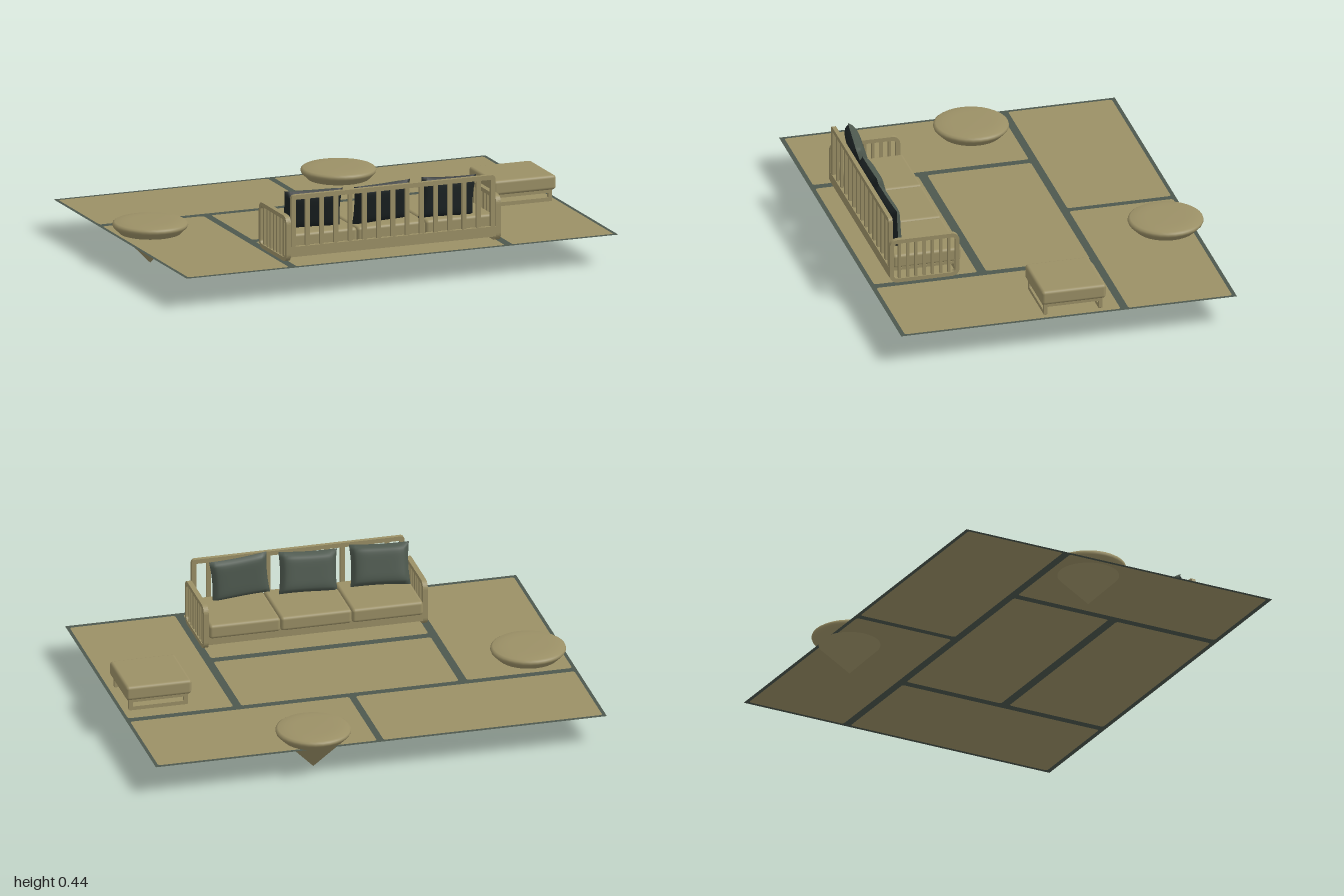
import * as THREE from 'three';
import { RoundedBoxGeometry } from 'three/addons/geometries/RoundedBoxGeometry.js';

const olive = new THREE.MeshStandardMaterial({ name: 'olive', color: 0x9b9066, side: THREE.DoubleSide });
const slate = new THREE.MeshStandardMaterial({ name: 'slate', color: 0x4d584e, side: THREE.DoubleSide });
const darkSlate = new THREE.MeshStandardMaterial({ name: 'dark slate', color: 0x1c2324, side: THREE.DoubleSide });

function add(parent, name, geometry, material, x = 0, y = 0, z = 0) {
  const mesh = new THREE.Mesh(geometry, material);
  mesh.name = name;
  mesh.position.set(x, y, z);
  parent.add(mesh);
  return mesh;
}

// Box given by its limits
function box(parent, name, [x0, x1], [y0, y1], [z0, z1], radius = 0) {
  const s = [x1 - x0, y1 - y0, z1 - z0];
  const geo = radius ? new RoundedBoxGeometry(...s, 4, radius) : new THREE.BoxGeometry(...s);
  return add(parent, name, geo, olive, (x0 + x1) / 2, (y0 + y1) / 2, (z0 + z1) / 2);
}

// Rounded rectangle outline, as a Shape or a hole Path
function roundRect(Type, x0, y0, x1, y1, r) {
  const p = new Type();
  p.absarc(x1 - r, y0 + r, r, -Math.PI / 2, 0);
  p.absarc(x1 - r, y1 - r, r, 0, Math.PI / 2);
  p.absarc(x0 + r, y1 - r, r, Math.PI / 2, Math.PI);
  p.absarc(x0 + r, y0 + r, r, Math.PI, Math.PI * 1.5);
  p.closePath();
  return p;
}

// Upright open frame, centred on its depth
function frameGeometry(x0, y0, x1, y1, bar, r, depth) {
  const shape = roundRect(THREE.Shape, x0, y0, x1, y1, r);
  shape.holes.push(roundRect(THREE.Path, x0 + bar, y0 + bar, x1 - bar, y1 - bar, Math.max(r - bar, 0.003)));
  return new THREE.ExtrudeGeometry(shape, { depth, bevelEnabled: false, curveSegments: 4 })
    .translate(0, 0, -depth / 2);
}

// Flat rug of six panels set in a slate border
function makeRug() {
  const rug = new THREE.Group();
  rug.name = 'rug';
  const border = roundRect(THREE.Shape, -1, -0.727, 1, 0.762, 0.002);
  const panels = [
    [-0.985, -0.71, -0.015, -0.25], [0.015, -0.71, 0.985, -0.25],
    [-0.985, -0.215, -0.518, 0.742], [0.518, -0.215, 0.985, 0.742],
    [-0.482, -0.215, 0.482, 0.245], [-0.482, 0.285, 0.482, 0.742],
  ];
  for (const p of panels) {
    border.holes.push(roundRect(THREE.Path, ...p, 0.012));
    const geo = new THREE.ShapeGeometry(roundRect(THREE.Shape, ...p, 0.012));
    add(rug, 'rugPanel', geo.scale(1, -1, 1).rotateX(-Math.PI / 2), olive);
  }
  add(rug, 'rugBorder', new THREE.ShapeGeometry(border).scale(1, -1, 1).rotateX(-Math.PI / 2), slate);
  // Mirroring reversed the winding, so turn the faces upward again
  for (const mesh of rug.children) {
    const idx = mesh.geometry.index;
    idx.array.reverse();
    mesh.geometry.computeVertexNormals();
  }
  rug.position.y = 0.135;
  return rug;
}

// Conical table with a softly rounded top
function makeTable(x, z) {
  const profile = [[0, 0], [0.04, 0.041], [0.1, 0.102], [0.148, 0.15], [0.16, 0.162], [0.163, 0.17],
    [0.161, 0.178], [0.152, 0.184], [0.12, 0.188], [0.085, 0.19], [0, 0.19]];
  const geo = new THREE.LatheGeometry(profile.map(p => new THREE.Vector2(...p)), 32);
  return add(new THREE.Group(), 'roundTable', geo, olive, x, 0, z);
}

// Cushioned stool on two looped legs
function makeStool() {
  const stool = new THREE.Group();
  stool.name = 'stool';
  box(stool, 'stoolCushion', [0.685, 0.975], [0.187, 0.252], [-0.155, 0.13], 0.014);
  for (const z of [0.11, -0.133]) {
    add(stool, 'stoolLeg', frameGeometry(0.7, 0.136, 0.96, 0.19, 0.017, 0.004, 0.016), olive, 0, 0, z);
  }
  for (const x of [0.7, 0.944]) box(stool, 'stoolRail', [x, x + 0.016], [0.172, 0.19], [-0.133, 0.11]);
  return stool;
}

// Plump pillow half, swelling from a pinched edge
function pillowHalf(w, h, t) {
  const geo = new THREE.PlaneGeometry(w, h, 20, 16);
  const pos = geo.attributes.position;
  for (let i = 0; i < pos.count; i++) {
    const u = pos.getX(i) / (w / 2), v = pos.getY(i) / (h / 2);
    const swell = Math.sqrt(Math.max(0, (1 - u ** 6) * (1 - v ** 6)));
    pos.setXYZ(i, pos.getX(i) * (1 - 0.05 * (1 - v * v)), pos.getY(i) * (1 - 0.05 * (1 - u * u)), swell * t / 2);
  }
  geo.computeVertexNormals();
  return geo;
}

function makePillow(x, y, z, yaw, lean, roll, t) {
  const pillow = new THREE.Group();
  pillow.name = 'pillow';
  add(pillow, 'pillowFront', pillowHalf(0.26, 0.185, t).rotateY(Math.PI), slate);
  add(pillow, 'pillowBack', pillowHalf(0.26, 0.185, t), darkSlate);
  pillow.rotation.set(lean, yaw, roll, 'YXZ');
  pillow.position.set(x, y, z);
  return pillow;
}

// Slatted sofa whose back stands at +z
function makeSofa() {
  const sofa = new THREE.Group();
  sofa.name = 'sofa';

  // Arms: rounded loops filled with upright bars
  for (const x of [-0.491, 0.481]) {
    add(sofa, 'armFrame', frameGeometry(0.365, 0.136, 0.675, 0.338, 0.018, 0.035, 0.022), olive, x)
      .rotation.y = -Math.PI / 2;
    for (let i = 1; i <= 7; i++) {
      const z = 0.374 + i * 0.0365;
      box(sofa, 'armSlat', [x - 0.007, x + 0.007], [0.145, 0.33], [z - 0.006, z + 0.006]);
    }
  }

  // Back frame and slats
  add(sofa, 'backFrame', frameGeometry(-0.477, 0.165, 0.467, 0.43, 0.02, 0.016, 0.018), olive, 0, 0, 0.664);
  for (let i = 1; i < 14; i++) {
    const x = -0.467 + i * 0.924 / 14;
    box(sofa, 'backSlat', [x - 0.01, x + 0.01], [0.18, 0.415], [0.658, 0.67]);
  }

  // Seat base and aprons
  box(sofa, 'seatDeck', [-0.48, 0.47], [0.183, 0.195], [0.38, 0.66]);
  for (const z of [0.367, 0.656]) box(sofa, 'apron', [-0.48, 0.47], [0.158, 0.203], [z, z + 0.018]);

  // Seat cushions
  for (let i = 0; i < 3; i++) {
    const x = -0.48 + i * 0.3167;
    box(sofa, 'seatCushion', [x + 0.001, x + 0.3157], [0.19, 0.254], [0.353, 0.654], 0.014);
  }

  sofa.add(makePillow(-0.348, 0.343, 0.588, -0.13, 0.3, 0, 0.065));
  sofa.add(makePillow(-0.033, 0.342, 0.6, 0, 0.24, 0.05, 0.062));
  sofa.add(makePillow(0.265, 0.343, 0.619, 0.05, 0.08, -0.06, 0.05));
  return sofa;
}

export function createModel() {
  const model = new THREE.Group();
  model.name = 'loungeSet';
  model.add(makeRug(), makeSofa(), makeStool(), makeTable(-0.835, -0.045), makeTable(0.27, -0.608));
  return model;
}
